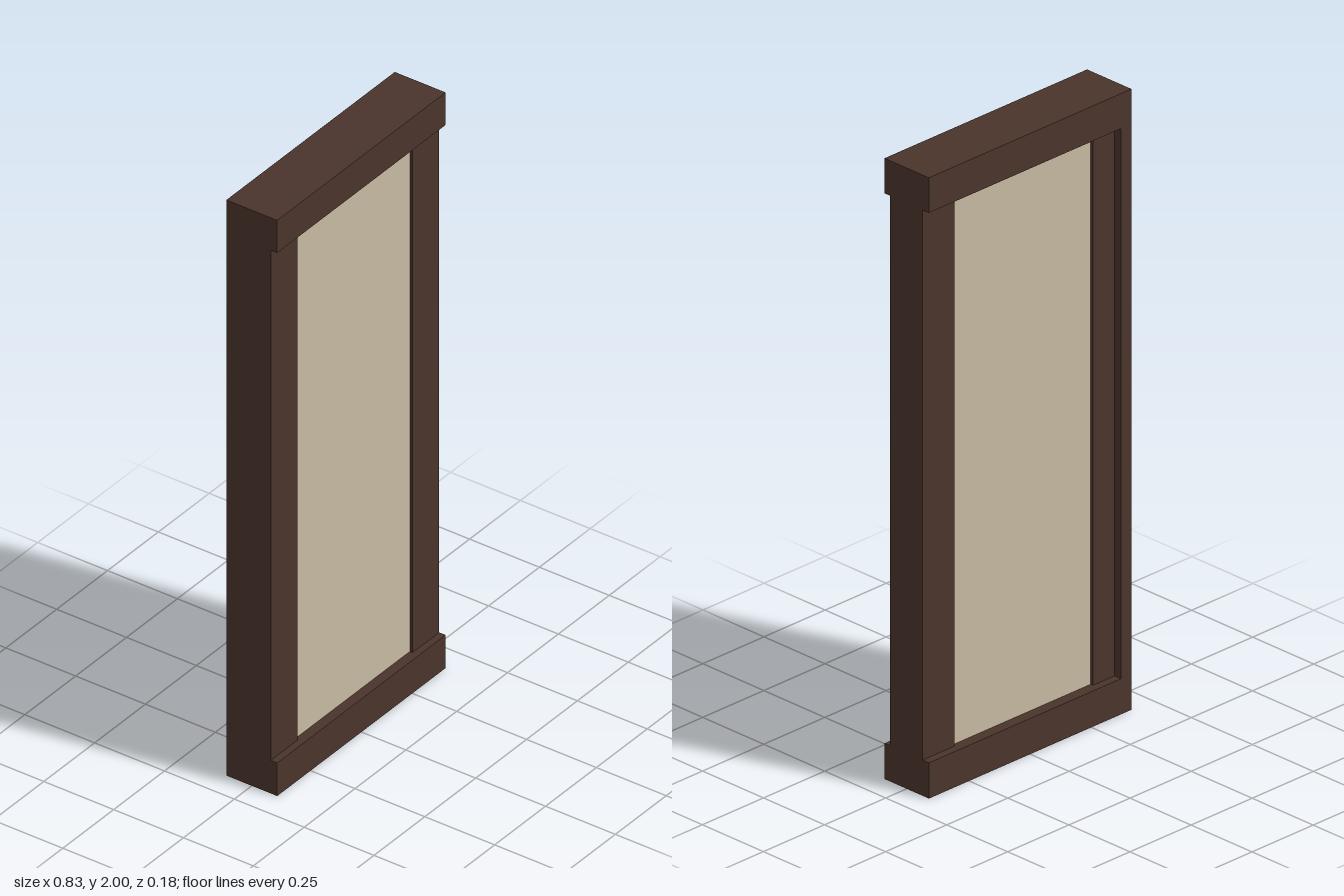
import * as THREE from 'three';

export function createModel() {
  const group = new THREE.Group();
  const wood = new THREE.MeshStandardMaterial({ color: 0x4a342c });
  wood.name = 'dark brown wood';
  const paper = new THREE.MeshStandardMaterial({ color: 0xc6baa1 });
  paper.name = 'beige panel';

  // Box given by its two opposite corners
  function box(name, material, [x0, y0, z0], [x1, y1, z1]) {
    const mesh = new THREE.Mesh(new THREE.BoxGeometry(x1 - x0, y1 - y0, z1 - z0), material);
    mesh.position.set((x0 + x1) / 2, (y0 + y1) / 2, (z0 + z1) / 2);
    mesh.name = name;
    group.add(mesh);
  }

  const W = 0.414, D = 0.091;            // half width and half depth
  const LOW = 0.115, HIGH = 1.887;       // opening between the rails
  const OPEN = 0.283;                    // half width of the panel
  const FRONT = 0.068, BACK = -0.065;    // faces of the stiles

  // Top and bottom rails
  box('bottomRail', wood, [-W, 0, -D], [W, LOW, D]);
  box('topRail', wood, [-W, HIGH, -D], [W, 2, D]);

  // Upright stiles
  box('rightStile', wood, [-W, LOW, BACK], [-OPEN, HIGH, FRONT]);
  box('leftStile', wood, [OPEN, LOW, BACK], [W, HIGH, FRONT]);

  // Narrow lip along the back of one stile only
  box('backLip', wood, [-W, LOW, -D], [-W + 0.043, HIGH, BACK]);

  // Panel, set slightly back from the stile faces
  box('panel', paper, [-OPEN, LOW, BACK + 0.01], [OPEN, HIGH, FRONT - 0.01]);

  return group;
}
